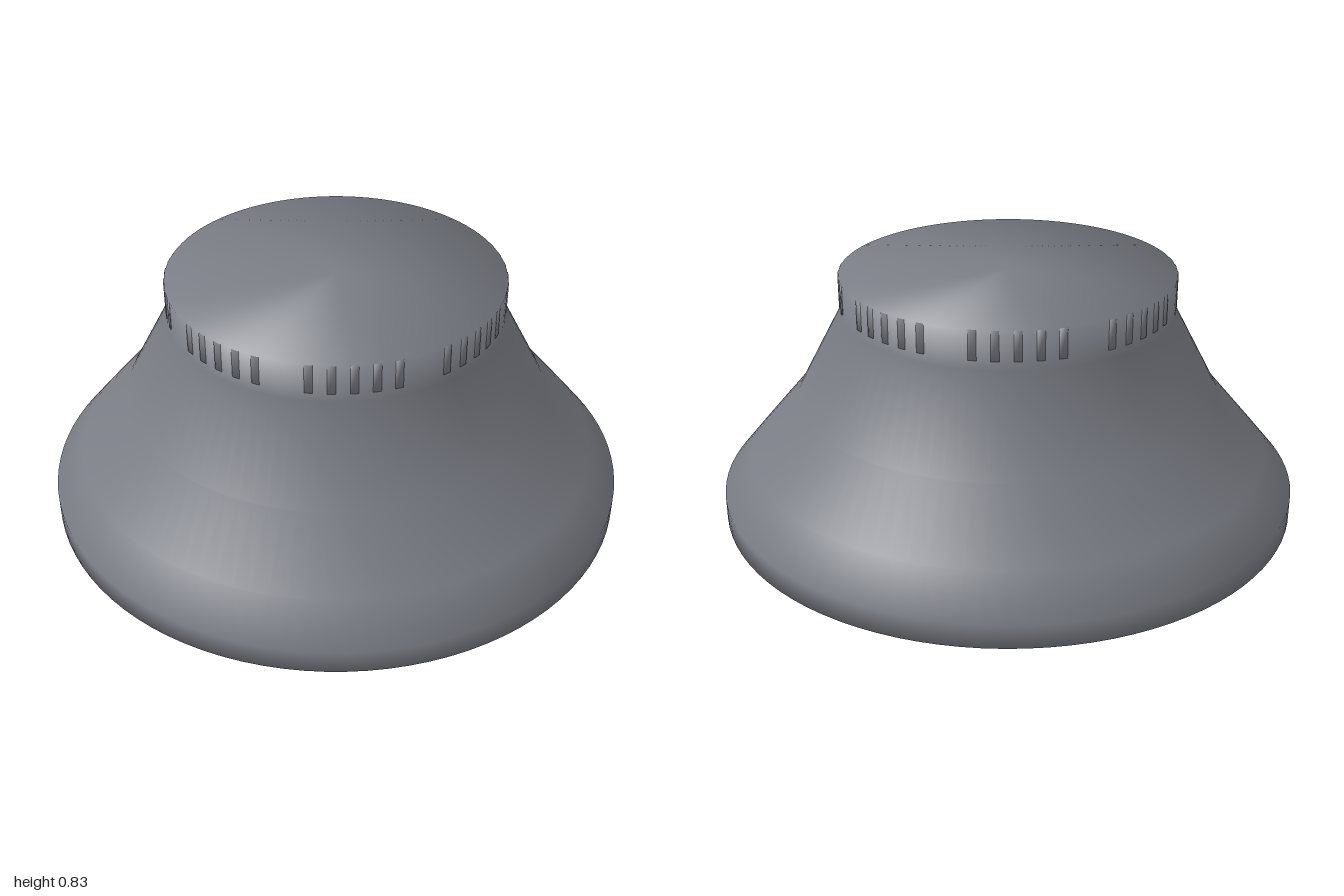
import * as THREE from 'three';

const material = new THREE.MeshStandardMaterial({ color: 0x7a7d85 });

// Flared body; every edge is shaded soft, so the caps blend into the sides
function createBody() {
  // radius, height, outward and upward part of the normal
  const rings = [
    [0, 0, 0, -0.71], [1, 0, 0.71, -0.71], [1, 0.08, 0.94, 0.34], [0.9, 0.2, 0.76, 0.65],
    [0.73, 0.4, 0.83, 0.56], [0.57, 0.7, 0.97, 0.24], [0.57, 0.83, 0.71, 0.71], [0, 0.83, 0, 0.71],
  ];
  const segments = 96;
  const geometry = new THREE.LatheGeometry(rings.map(([r, y]) => new THREE.Vector2(r, y)), segments);
  const normal = geometry.attributes.normal;
  for (let i = 0; i < normal.count; i++) {
    const angle = (Math.floor(i / rings.length) / segments) * Math.PI * 2;
    const [, , out, up] = rings[i % rings.length];
    normal.setXYZ(i, Math.sin(angle) * out, up, Math.cos(angle) * out);
  }
  const body = new THREE.Mesh(geometry, material);
  body.name = 'knobBody';
  return body;
}

// Shallow grip ribs around the collar: eight sets of five
function createRibs() {
  const ribs = new THREE.Group();
  ribs.name = 'gripRibs';
  const geometry = new THREE.BoxGeometry(0.026, 0.099, 0.02);
  // Soft shading: corner normals point away from the middle
  const { position, normal } = geometry.attributes;
  const corner = new THREE.Vector3();
  for (let i = 0; i < position.count; i++) {
    corner.fromBufferAttribute(position, i);
    corner.set(Math.sign(corner.x), Math.sign(corner.y), Math.sign(corner.z)).normalize();
    normal.setXYZ(i, corner.x, corner.y, corner.z);
  }
  for (let set = 0; set < 8; set++) {
    for (let i = -2; i <= 2; i++) {
      const angle = THREE.MathUtils.degToRad(22.5 + set * 45 + i * 7);
      const rib = new THREE.Mesh(geometry, material);
      rib.name = 'gripRib';
      rib.position.set(Math.sin(angle) * 0.562, 0.779, Math.cos(angle) * 0.562);
      rib.rotation.y = angle;
      ribs.add(rib);
    }
  }
  return ribs;
}

export function createModel() {
  const group = new THREE.Group();
  group.name = 'controlKnob';
  group.add(createBody(), createRibs());
  return group;
}
